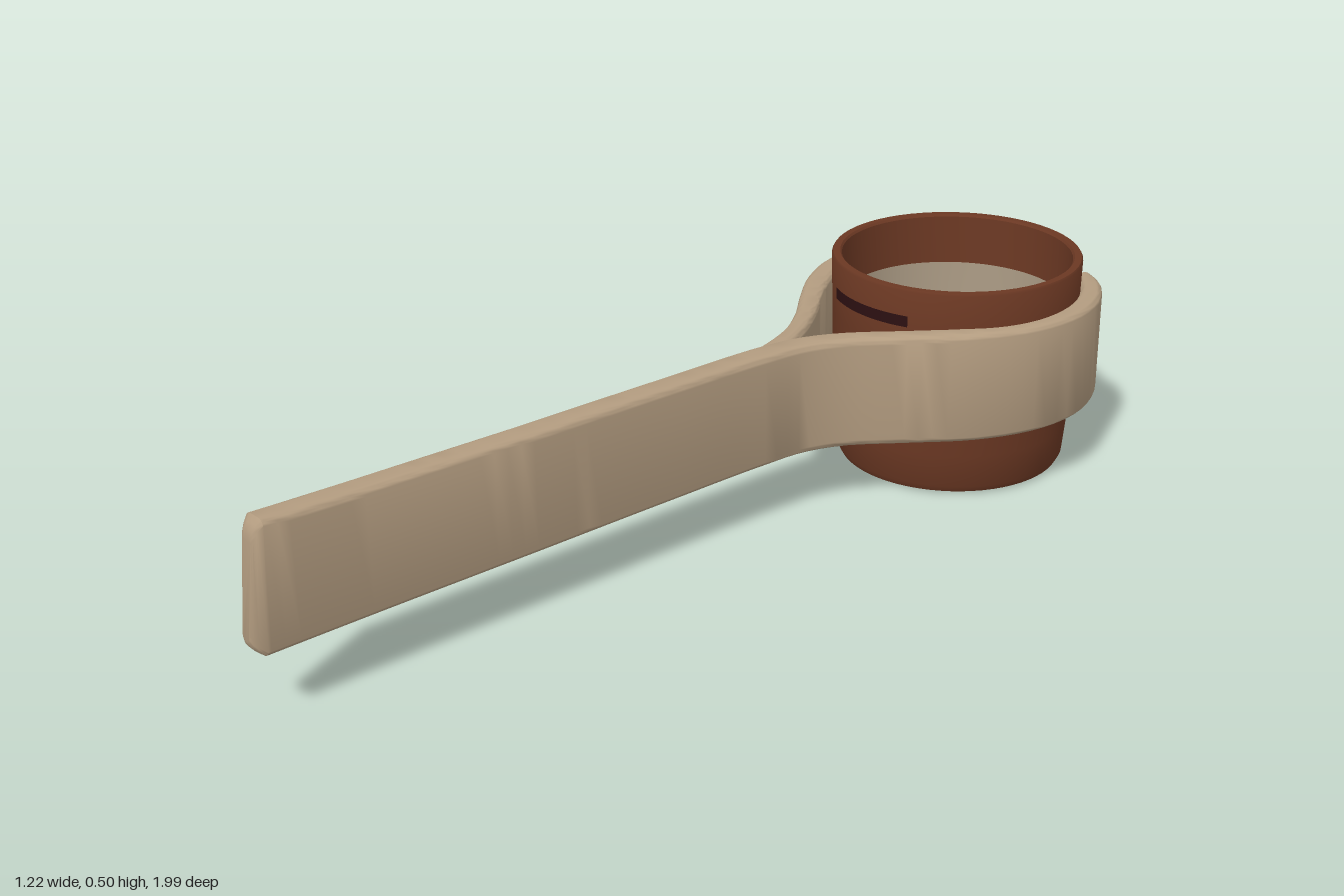
import * as THREE from 'three';
import { toCreasedNormals } from 'three/addons/utils/BufferGeometryUtils.js';

const mat = (name, color, side = THREE.FrontSide) => {
  const m = new THREE.MeshStandardMaterial({ color, side });
  m.name = name;
  return m;
};

// Upright rounded strap swept along a plan path of [x, z, half thickness, bottom, top]
function strap(stations, roundStart, lean = 0) {
  const path = new THREE.CatmullRomCurve3(stations.map(([x, z]) => new THREE.Vector3(x, 0, z)), false, 'centripetal');
  const n = 72, sides = 28, spans = stations.length - 1;
  const pos = [], idx = [];
  const rows = [];
  for (let i = 0; i <= n; i++) rows.push([i / n, 0]);
  // Extra shrinking rows round the free ends over
  const ends = [[0.012, 0.012], [0.004, 0.022], [0, 0.034]];
  const len = path.getLength();
  const list = rows.filter(([t]) => t * len > (roundStart ? 0.03 : -1) && (1 - t) * len > 0.03);
  if (roundStart) [[0.026, 0], ...ends].forEach(([d, s]) => list.unshift([d / len, s]));
  [[0.026, 0], ...ends].forEach(([d, s]) => list.push([1 - d / len, s]));
  for (const [u, shrink] of list) {
    const t = path.getUtoTmapping(u);
    const p = path.getPoint(t), d = path.getTangent(t);
    const k = Math.min(Math.floor(t * spans), spans - 1), f = t * spans - k;
    const [hw, lo, hi] = [2, 3, 4].map(c => THREE.MathUtils.lerp(stations[k][c], stations[k + 1][c], f));
    const half = Math.max(hw - shrink * 0.5, 0.008), mid = (lo + hi) / 2, h = (hi - lo) / 2 - shrink;
    const r = Math.min(0.016, half);
    for (let j = 0; j < sides; j++) {
      const q = Math.floor(j / 7), a = (q + (j % 7) / 6) * Math.PI / 2;
      const sx = q === 0 || q === 3 ? 1 : -1, sy = q < 2 ? 1 : -1;
      const w = sx * (half - r) + r * Math.cos(a), v = sy * (h - r) + r * Math.sin(a);
      const back = lean * Math.max(0, 1 - u * len / 0.1) * (v / h + 1);
      pos.push(p.x - d.z * w + d.x * back, mid + v, p.z + d.x * w + d.z * back);
    }
  }
  const m = list.length;
  for (let i = 0; i < m - 1; i++) for (let j = 0; j < sides; j++) {
    const a = i * sides + j, b = i * sides + (j + 1) % sides;
    idx.push(a, b, a + sides, b, b + sides, a + sides);
  }
  for (let j = 1; j < sides - 1; j++) {
    idx.push(0, j + 1, j);
    const e = (m - 1) * sides;
    idx.push(e, e + j, e + j + 1);
  }
  // Face winding follows the sign of the enclosed volume
  let vol = 0;
  const P = i => new THREE.Vector3().fromArray(pos, i * 3);
  for (let i = 0; i < idx.length; i += 3) vol += P(idx[i]).dot(P(idx[i + 1]).cross(P(idx[i + 2])));
  if (vol < 0) idx.reverse();
  const g = new THREE.BufferGeometry();
  g.setAttribute('position', new THREE.Float32BufferAttribute(pos, 3));
  g.setIndex(idx);
  return toCreasedNormals(g, 0.7);
}

export function createModel() {
  const model = new THREE.Group();
  const brown = mat('brown clay', 0x6b3823, THREE.DoubleSide);
  const wood = mat('pale wood', 0xb39c80);
  const lining = mat('pale lining', 0xa89882, THREE.DoubleSide);
  const dark = mat('dark residue', 0x2c1012, THREE.DoubleSide);
  const add = (name, geo, material, parent = model) => {
    const mesh = new THREE.Mesh(geo, material);
    mesh.name = name;
    parent.add(mesh);
    return mesh;
  };
  const lathe = pts => toCreasedNormals(
    new THREE.LatheGeometry(pts.map(([x, y]) => new THREE.Vector2(x, y)), 64), 0.6);

  // Cup: outer shell and rim, inner lining, floor
  const cup = new THREE.Group();
  cup.name = 'cup';
  cup.position.set(0.274, 0, -0.71);
  model.add(cup);
  add('cupShell', lathe([[0, 0], [0.25, 0], [0.262, 0.005], [0.27, 0.02], [0.277, 0.1], [0.284, 0.22],
    [0.288, 0.36], [0.291, 0.495], [0.288, 0.5], [0.272, 0.5], [0.268, 0.495], [0.262, 0.38]]), brown, cup);
  add('cupLining', lathe([[0.262, 0.38], [0.25, 0.2], [0.235, 0.06]]), lining, cup);
  const floor = add('cupFloor', new THREE.CircleGeometry(0.236, 64), dark, cup);
  floor.rotation.x = -Math.PI / 2;
  floor.position.y = 0.06;
  // Dark smudge on the shell above the strap
  const smudge = add('smudge', new THREE.CylinderGeometry(0.292, 0.292, 0.026, 24, 1, true, -0.95, 0.85), dark, cup);
  smudge.position.y = 0.424;

  // Holder: handle running into the long arm, plus the short arm
  const holder = new THREE.Group();
  holder.name = 'holder';
  model.add(holder);
  add('handleAndLeftArm', strap([
    [-0.59, 0.985, 0.03, 0.15, 0.43], [-0.48, 0.76, 0.032, 0.15, 0.422], [-0.3, 0.405, 0.033, 0.15, 0.416],
    [-0.13, 0.07, 0.033, 0.15, 0.414], [-0.01, -0.155, 0.034, 0.152, 0.414], [0.05, -0.245, 0.033, 0.154, 0.414],
    [0.13, -0.31, 0.03, 0.156, 0.415], [0.27, -0.375, 0.028, 0.158, 0.417], [0.4, -0.437, 0.028, 0.16, 0.419],
    [0.505, -0.525, 0.028, 0.162, 0.42], [0.568, -0.635, 0.028, 0.163, 0.421], [0.583, -0.74, 0.027, 0.164, 0.421],
    [0.565, -0.84, 0.025, 0.165, 0.421], [0.523, -0.915, 0.017, 0.166, 0.42]], true, 0.012), wood, holder);
  add('rightArm', strap([
    [-0.03, -0.1, 0.02, 0.156, 0.41], [0.0, -0.2, 0.025, 0.155, 0.413], [0.012, -0.32, 0.023, 0.156, 0.414],
    [0.0, -0.43, 0.024, 0.158, 0.415], [-0.022, -0.53, 0.027, 0.16, 0.417], [-0.042, -0.64, 0.029, 0.162, 0.419],
    [-0.043, -0.74, 0.029, 0.163, 0.42], [-0.02, -0.83, 0.028, 0.164, 0.421], [0.025, -0.91, 0.024, 0.165, 0.421],
    [0.092, -0.968, 0.015, 0.166, 0.42]], false), wood, holder);
  return model;
}
